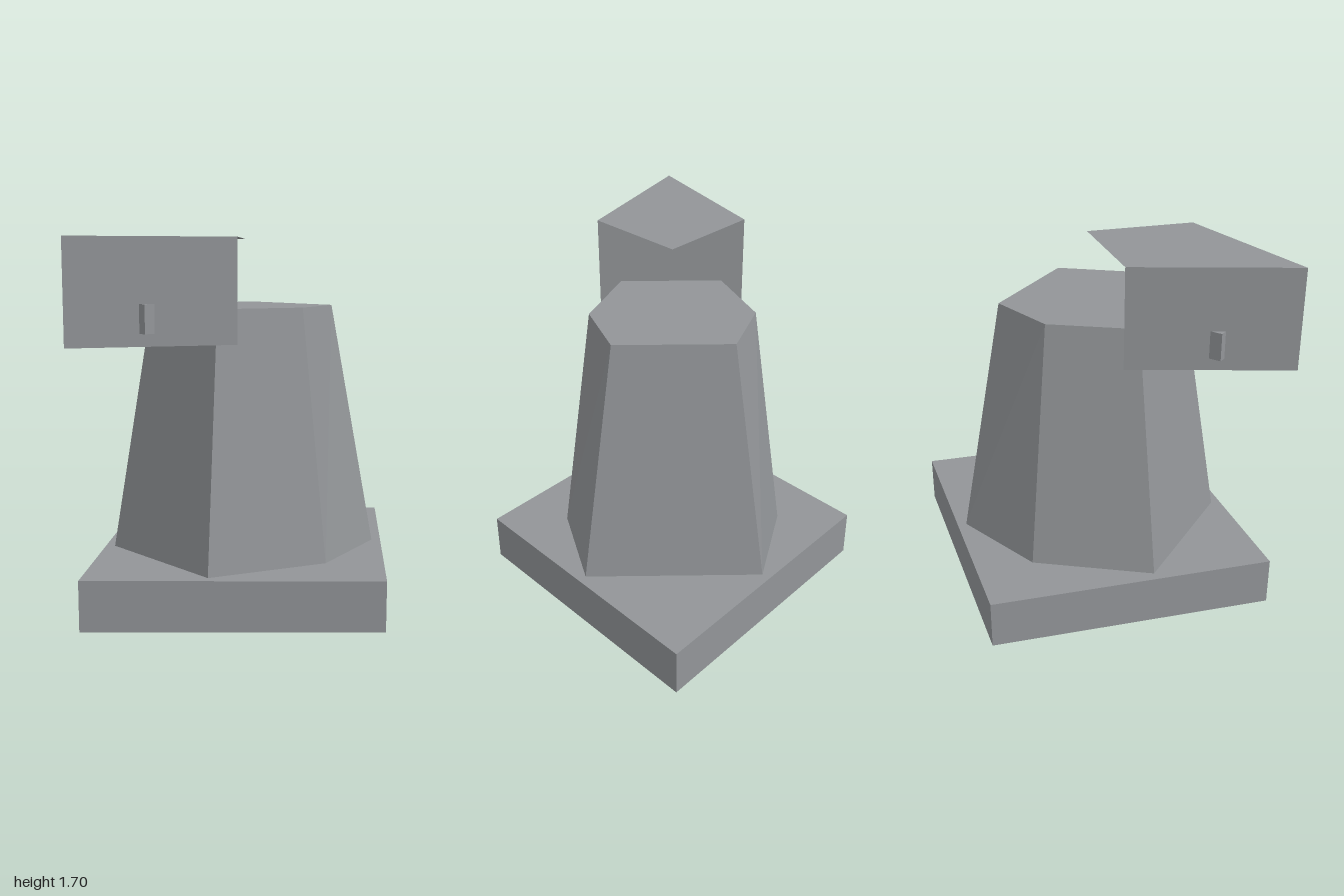
import * as THREE from 'three';

const stone = new THREE.MeshStandardMaterial({ color: 0x929598, side: THREE.DoubleSide });
stone.name = 'stoneGrey';

// Walls between two matching [x, z] loops (front-left, front-right, then round
// the back), closed on top by a flat lid; the underside stays open.
function prism(name, bottom, y0, top, y1, lid = top) {
  const pos = [];
  const tri = (...pts) => pts.forEach(([x, y, z]) => pos.push(x, y, z));
  const at = ([x, z], y) => [x, y, z];
  bottom.forEach((p, i) => {
    const j = (i + 1) % bottom.length;
    const a = at(p, y0), b = at(bottom[j], y0), c = at(top[j], y1), d = at(top[i], y1);
    tri(a, b, c);
    tri(a, c, d);
  });
  for (let i = 1; i < lid.length - 1; i++) {
    tri(at(lid[0], y1), at(lid[i], y1), at(lid[i + 1], y1));
  }
  const geo = new THREE.BufferGeometry();
  geo.setAttribute('position', new THREE.Float32BufferAttribute(pos, 3));
  geo.computeVertexNormals();
  const mesh = new THREE.Mesh(geo, stone);
  mesh.name = name;
  return mesh;
}

// Six-sided body section from its front, middle and back half widths and depths
const hexagon = (fx, fz, mx, mz, bx, bz) =>
  [[-fx, fz], [fx, fz], [mx, mz], [bx, bz], [-bx, bz], [-mx, mz]];

export function createModel() {
  const model = new THREE.Group();
  model.name = 'figure';

  // Diamond base slab
  const diamond = [[0, 0.96], [0.9, -0.02], [0, -1], [-0.9, -0.02]];
  model.add(prism('base', diamond, 0, diamond, 0.23));

  // Tapered body
  model.add(prism('body',
    hexagon(0.345, 0.52, 0.54, 0.02 - 0.04, 0.42, -0.48), 0.23,
    hexagon(0.235, 0.365, 0.38, -0.02, 0.27, -0.33), 1.385));

  // Wedge head, with a thin roof running back to a point
  const wedge = [[0, 1], [0.345, 0.345], [-0.345, 0.345]];
  const roof = [[0, 1], [0.345, 0.345], [0, -0.02], [-0.345, 0.345]];
  model.add(prism('head', wedge, 1.235, wedge, 1.695, roof));

  // Eyes set into the two slanted front walls
  for (const side of [-1, 1]) {
    const eye = new THREE.Mesh(new THREE.BoxGeometry(0.035, 0.125, 0.1), stone);
    eye.position.set(side * 0.16, 1.352, 0.67);
    eye.rotation.y = side * 0.08;
    eye.name = side > 0 ? 'leftEye' : 'rightEye';
    model.add(eye);
  }
  return model;
}
